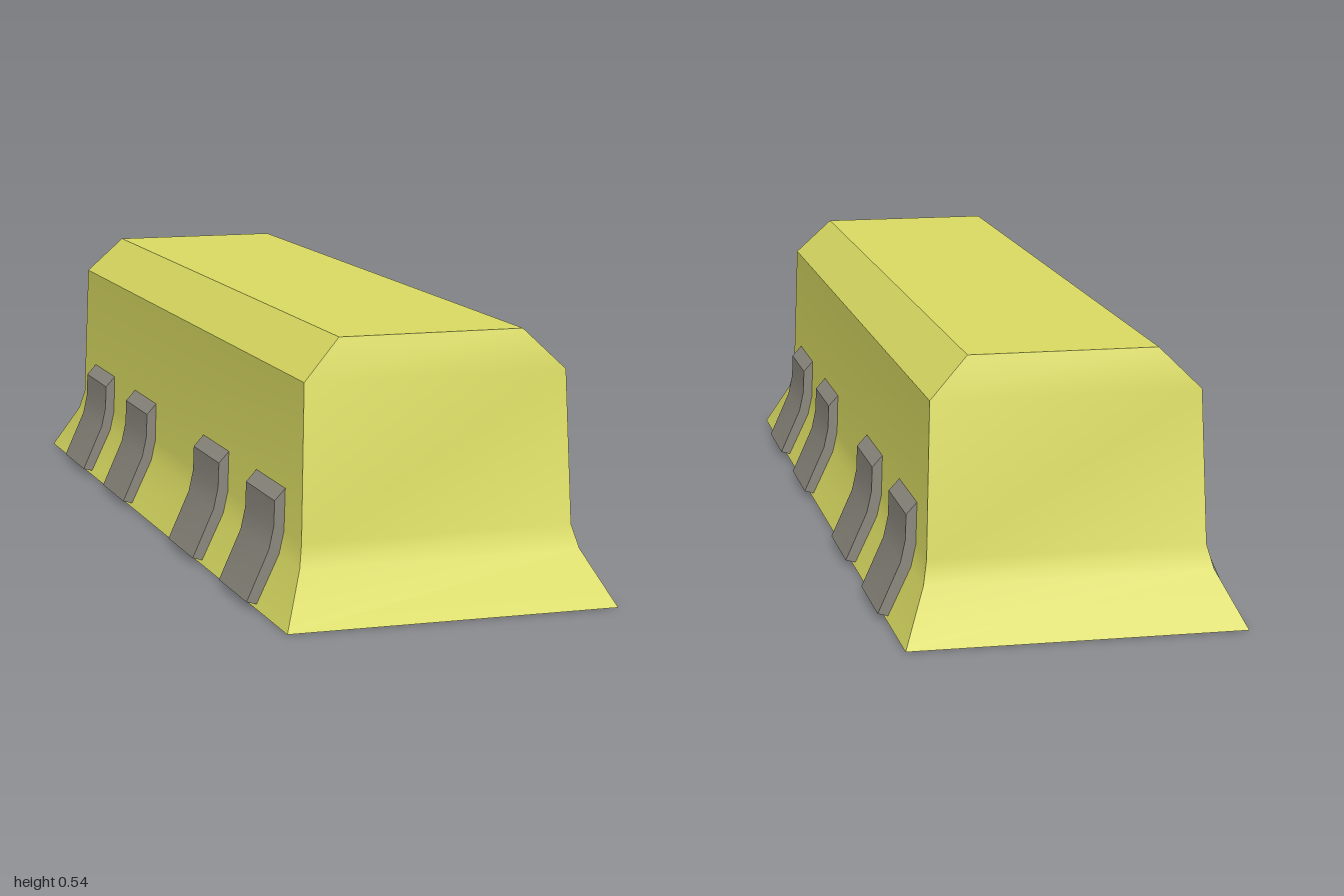
import * as THREE from 'three';
import { toCreasedNormals } from 'three/addons/utils/BufferGeometryUtils.js';

const CREASE = THREE.MathUtils.degToRad(32);

// Stack of rectangles [half width, half length, height], bottom to top, closed at both ends
function rectangleLoft(levels) {
  const positions = [];
  const indices = [];
  for (const [x, z, y] of levels) {
    positions.push(x, y, z, x, y, -z, -x, y, -z, -x, y, z);
  }
  for (let i = 0; i < levels.length - 1; i++) {
    for (let j = 0; j < 4; j++) {
      const a = i * 4 + j;
      const b = i * 4 + ((j + 1) % 4);
      indices.push(a, b, b + 4, a, b + 4, a + 4);
    }
  }
  const t = (levels.length - 1) * 4;
  indices.push(t, t + 1, t + 2, t, t + 2, t + 3);
  indices.push(0, 2, 1, 0, 3, 2);
  const geometry = new THREE.BufferGeometry();
  geometry.setAttribute('position', new THREE.Float32BufferAttribute(positions, 3));
  geometry.setIndex(indices);
  return toCreasedNormals(geometry, CREASE);
}

export function createModel() {
  const model = new THREE.Group();
  model.name = 'barrier';
  const yellow = new THREE.MeshStandardMaterial({ color: 0xdadb62 });
  const grey = new THREE.MeshStandardMaterial({ color: 0x8c887e });

  // Body: flared foot, tapering walls, bevelled top
  const body = new THREE.Mesh(rectangleLoft([
    [0.34, 1.0, 0],
    [0.29, 0.92, 0.105],
    [0.28, 0.9, 0.15],
    [0.27, 0.885, 0.46],
    [0.19, 0.855, 0.54],
  ]), yellow);
  body.name = 'body';
  model.add(body);

  // Bracket: a bent plate following the foot of the wall
  const width = 0.195;
  const profile = new THREE.Shape([
    [0.335, 0.007], [0.357, 0.013], [0.311, 0.115], [0.301, 0.16],
    [0.299, 0.212], [0.276, 0.237], [0.275, 0.15], [0.285, 0.105],
  ].map(([x, y]) => new THREE.Vector2(x, y)));
  const plate = new THREE.ExtrudeGeometry(profile, { depth: width, bevelEnabled: false });
  plate.translate(0, 0, -width / 2);
  const bracketGeometry = toCreasedNormals(plate, CREASE);

  // Four brackets along each side
  for (const side of ['left', 'right']) {
    const row = new THREE.Group();
    row.name = `${side}Brackets`;
    row.rotation.y = side === 'left' ? 0 : Math.PI;
    for (const z of [-0.69, -0.297, 0.297, 0.69]) {
      const bracket = new THREE.Mesh(bracketGeometry, grey);
      bracket.name = 'bracket';
      bracket.position.z = z;
      row.add(bracket);
    }
    model.add(row);
  }
  return model;
}
